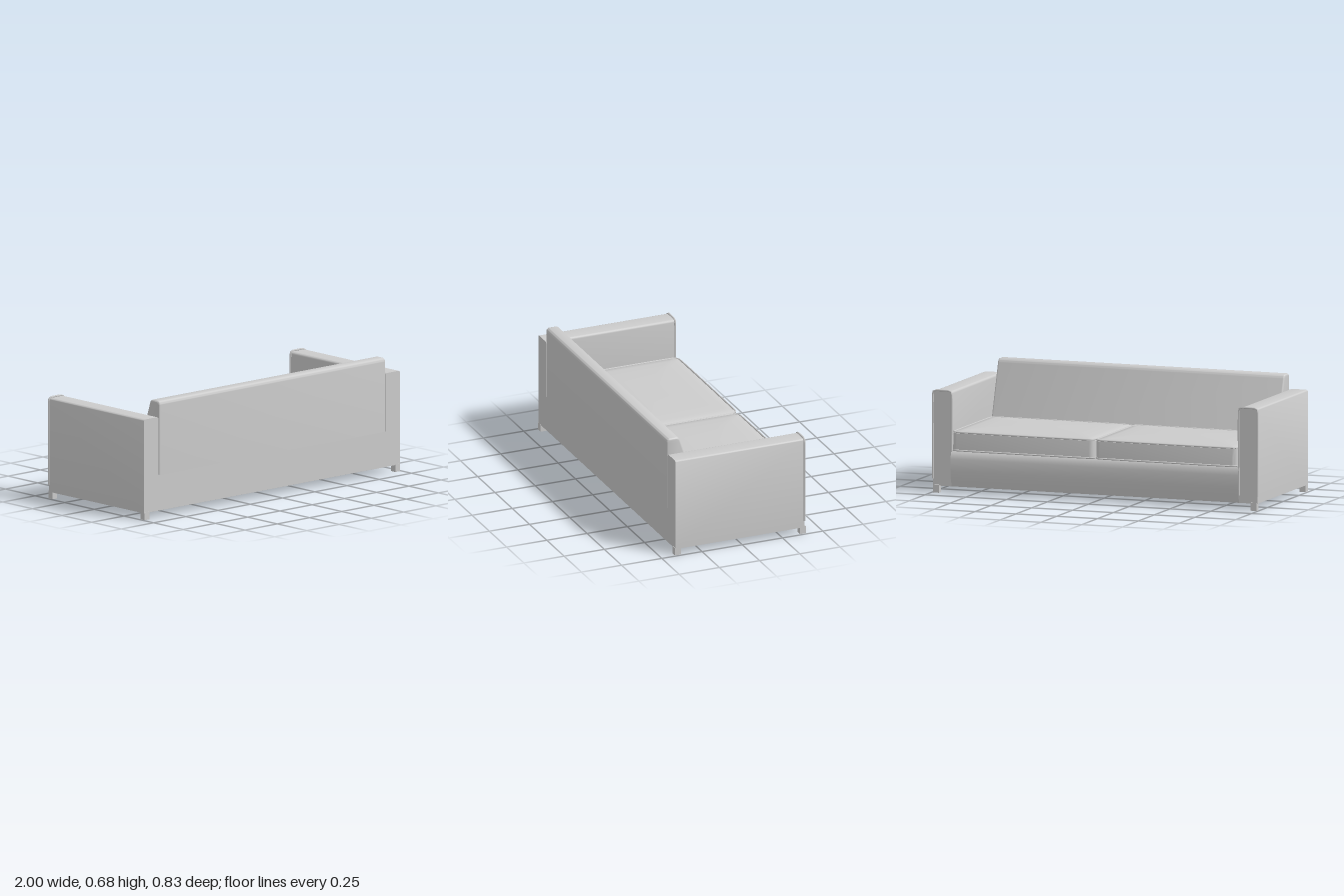
import * as THREE from 'three';
import { toCreasedNormals } from 'three/addons/utils/BufferGeometryUtils.js';

const fabric = new THREE.MeshStandardMaterial({ color: 0xcccccc, side: THREE.DoubleSide });
const FRONT = -0.39, BACK = 0.412;   // the seat faces -z
const OUT = 0.993, INN = 0.88, BASE = 0.04, SEAT = 0.247, ARM = 0.587;

function add(group, name, geometry) {
  const mesh = new THREE.Mesh(geometry, fabric);
  mesh.name = name;
  group.add(mesh);
  return mesh;
}

// Skin over a list of equally long point loops (or open rows)
function skin(rows, closed) {
  const n = rows[0].length, index = [];
  for (let r = 0; r < rows.length - 1; r++) {
    for (let i = 0; i < (closed ? n : n - 1); i++) {
      const a = r * n + i, b = r * n + (i + 1) % n;
      index.push(a, a + n, b, b, a + n, b + n);
    }
  }
  const geometry = new THREE.BufferGeometry().setFromPoints(rows.flat());
  geometry.setIndex(index);
  return toCreasedNormals(geometry, 0.7);
}

// Rounded rectangle loop lying flat at height y
function loop(x0, x1, z0, z1, r, y) {
  const points = [];
  const corners = [[x1 - r, z1 - r], [x0 + r, z1 - r], [x0 + r, z0 + r], [x1 - r, z0 + r]];
  corners.forEach(([cx, cz], q) => {
    for (let i = 0; i <= 5; i++) {
      const a = (q + i / 5) * Math.PI / 2;
      points.push(new THREE.Vector3(cx + r * Math.cos(a), y, cz + r * Math.sin(a)));
    }
  });
  return points;
}

function piping(points, radius, closed) {
  const curve = new THREE.CatmullRomCurve3(points, closed, 'centripetal');
  return new THREE.TubeGeometry(curve, closed ? 120 : 60, radius, 6, closed);
}

// Arm cross-section from the outer foot over the rounded top to the inner foot
function armProfile(outerFoot, innerFoot) {
  const r = 0.014, points = [[OUT, outerFoot]];
  for (const [cx, start] of [[OUT - r, 0], [INN + r, Math.PI / 2]]) {
    for (let i = 0; i <= 4; i++) {
      const a = start + i / 4 * Math.PI / 2;
      points.push([cx + r * Math.cos(a), ARM - r + r * Math.sin(a)]);
    }
  }
  points.push([INN, innerFoot]);
  return points;
}

export function createModel() {
  const sofa = new THREE.Group();
  sofa.name = 'sofa';

  // Front and back walls: one U-shaped outline joining both arms
  const half = armProfile(BASE, SEAT);
  const outline = half.concat(half.map(([x, y]) => [-x, y]).reverse());
  const wall = new THREE.ShapeGeometry(new THREE.Shape(outline.map(p => new THREE.Vector2(...p))));
  add(sofa, 'backWall', wall).position.z = BACK;
  const frontWall = add(sofa, 'frontWall', wall);
  frontWall.position.z = FRONT;
  frontWall.rotation.y = Math.PI;

  // Softly bulging panel below the seat
  const panel = [[-0.39, BASE], [-0.398, 0.08], [-0.403, 0.13], [-0.406, 0.2], [-0.4, 0.235], [-0.385, 0.25]];
  add(sofa, 'frontPanel', skin([-INN, INN].map(x => panel.map(([z, y]) => new THREE.Vector3(x, y, z)))));

  for (const s of [1, -1]) {
    const side = s > 0 ? 'left' : 'right';

    // Hollow arm, open underneath
    const rows = [FRONT, BACK].map(z => half.map(([x, y]) => new THREE.Vector3(s * x, y, z)));
    add(sofa, side + 'Arm', skin(rows));

    // Piping around the arm front
    const seam = armProfile(0.078, 0.08).map(([x, y]) => new THREE.Vector3(s * x, y + 0.003, FRONT));
    add(sofa, side + 'ArmPiping', piping(seam, 0.006, false));

    // Feet
    for (const z of [-0.381, 0.396]) {
      const foot = add(sofa, side + (z < 0 ? 'FrontFoot' : 'BackFoot'), new THREE.BoxGeometry(0.036, 0.045, 0.036));
      foot.position.set(s * 0.972, 0.0225, z);
    }

    // Seat cushion: open shell with a slanted skirt and a crowned top
    const rings = [
      // x inset, front z, back z, corner radius, y
      [0, -0.409, 0.197, 0.03, 0.25],
      [0, -0.408, 0.21, 0.03, 0.3],
      [0, -0.402, 0.223, 0.03, 0.35],
      [0.008, -0.393, 0.216, 0.03, 0.358],
      [0.05, -0.35, 0.175, 0.03, 0.364],
      [0.15, -0.25, 0.08, 0.03, 0.37],
      [0.38, -0.1, -0.03, 0.03, 0.372],
      [0.434, -0.083, -0.083, 0, 0.372],
    ].map(([d, z0, z1, r, y]) => loop(s * 0.438 - 0.434 + d, s * 0.438 + 0.434 - d, z0, z1, r, y));
    add(sofa, side + 'SeatCushion', skin(rings, true));
    for (const [y, z0, z1] of [[0.356, -0.4, 0.22], [0.252, -0.409, 0.197]]) {
      const edge = loop(s * 0.438 - 0.432, s * 0.438 + 0.432, z0, z1, 0.03, y);
      add(sofa, side + 'CushionPiping', piping(edge, 0.005, true));
    }
  }

  // Wedge-shaped backrest, extruded along x
  const b = 0.01;
  const back = new THREE.Shape();
  back.moveTo(-0.405, 0.257);
  back.lineTo(-0.405, 0.655);
  back.quadraticCurveTo(-0.405, 0.668, -0.392, 0.668);
  back.lineTo(-0.358, 0.668);
  back.quadraticCurveTo(-0.346, 0.668, -0.341, 0.652);
  back.lineTo(-0.213, 0.257);
  back.closePath();
  const backGeometry = new THREE.ExtrudeGeometry(back, {
    depth: 2 * (0.878 - b), bevelThickness: b, bevelSize: b, bevelSegments: 3, curveSegments: 6,
  });
  backGeometry.translate(0, 0, -(0.878 - b)).rotateY(Math.PI / 2);
  add(sofa, 'backrest', toCreasedNormals(backGeometry, 0.7));

  return sofa;
}
